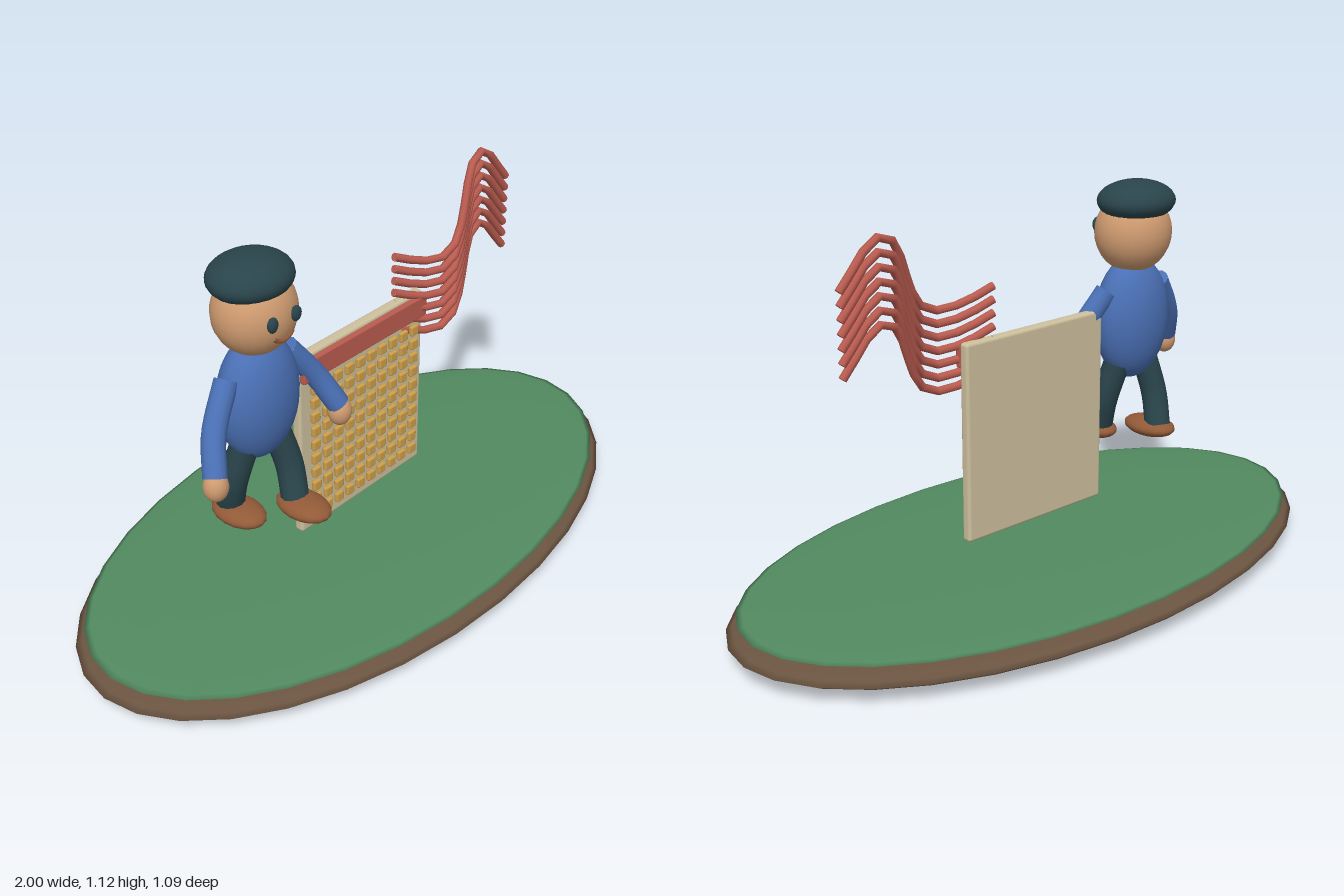
import * as THREE from 'three';
import { RoundedBoxGeometry } from 'three/addons/geometries/RoundedBoxGeometry.js';

const mat = (name, color) => new THREE.MeshStandardMaterial({ name, color });

export function createModel() {
  const group = new THREE.Group();
  const soil = mat('soil brown', 0x6b5441);
  const grass = mat('grass green', 0x528a60);
  const blue = mat('sweater blue', 0x4a70b5);
  const skin = mat('skin tan', 0xcf9b70);
  const dark = mat('dark teal', 0x29444b);
  const shoe = mat('shoe brown', 0x925a38);
  const cream = mat('board cream', 0xcdc09d);
  const gold = mat('bead gold', 0xcfa04a);
  const red = mat('ribbon red', 0xbb5c50);

  const add = (name, geometry, material, x = 0, y = 0, z = 0, parent = group) => {
    const m = new THREE.Mesh(geometry, material);
    m.name = name;
    m.position.set(x, y, z);
    parent.add(m);
    return m;
  };
  const ellipsoid = (name, material, [x, y, z], [rx, ry, rz], parent, seg = 24) =>
    add(name, new THREE.SphereGeometry(1, seg, 16).scale(rx, ry, rz), material, x, y, z, parent);

  // Tube through points, closed by a flat disc at both ends
  const tube = (name, material, points, r, steps, sides, parent) => {
    const curve = new THREE.CatmullRomCurve3(points.map(p => new THREE.Vector3(...p)));
    add(name, new THREE.TubeGeometry(curve, steps, r, sides), material, 0, 0, 0, parent);
    for (const t of [0, 1]) {
      const p = curve.getPointAt(t);
      const dir = curve.getTangentAt(t).multiplyScalar(t ? 1 : -1);
      const cap = add(name + 'End', new THREE.CircleGeometry(r, sides), material, p.x, p.y, p.z, parent);
      cap.quaternion.setFromUnitVectors(new THREE.Vector3(0, 0, 1), dir);
    }
  };

  // Oval island
  ellipsoid('soilBase', soil, [0, 0.058, 0], [1, 0.056, 0.545], group, 32);
  ellipsoid('grassTop', grass, [0, 0.105, 0], [0.97, 0.018, 0.523], group, 32);

  // Upright board with a red header and a grid of beads
  add('board', new RoundedBoxGeometry(0.52, 0.585, 0.032, 2, 0.01), cream, 0, 0.468, 0.001);
  add('headerStrip', new RoundedBoxGeometry(0.515, 0.066, 0.02, 1, 0.004), red, 0, 0.718, 0.026);
  const beads = new THREE.Group();
  beads.name = 'beads';
  group.add(beads);
  const beadShape = new RoundedBoxGeometry(0.031, 0.031, 0.015, 1, 0.005);
  for (let row = 0; row < 10; row++) {
    for (let col = 0; col < 10; col++) {
      add('bead', beadShape, gold, -0.21 + col * 0.0465, 0.236 + row * 0.0462, 0.029, beads);
    }
  }

  // Waving strands
  const wave = [
    [0.15, 0.903, 0], [0.22, 0.872, 0.02], [0.28, 0.856, 0.038], [0.33, 0.858, 0.047],
    [0.377, 0.888, 0.045], [0.436, 1.0, 0.027], [0.465, 1.06, 0.014], [0.51, 1.094, 0.003],
    [0.56, 1.088, -0.003], [0.61, 1.035, -0.004], [0.66, 0.975, 0],
  ];
  const strands = new THREE.Group();
  strands.name = 'strands';
  group.add(strands);
  for (let i = 0; i < 7; i++) {
    tube('strand', red, wave.map(([x, y, z]) => [x, y - i * 0.038, z]), 0.012, 12, 8, strands);
  }

  // Standing figure, built around its own centre line
  const figure = new THREE.Group();
  figure.name = 'figure';
  figure.position.x = -0.398;
  group.add(figure);
  ellipsoid('torso', blue, [0, 0.712, 0], [0.13, 0.188, 0.09], figure);
  ellipsoid('head', skin, [0, 0.97, 0], [0.119, 0.12, 0.11], figure);
  ellipsoid('cap', dark, [0, 1.065, -0.01], [0.122, 0.06, 0.109], figure);
  const smile = new THREE.TorusGeometry(0.042, 0.006, 8, 12, 1.9).rotateZ(-Math.PI / 2 - 0.95);
  add('smile', smile, shoe, 0, 0.96, 0.101, figure);

  for (const s of [-1, 1]) {
    const side = s > 0 ? 'left' : 'right';
    ellipsoid(side + 'Eye', dark, [s * 0.042, 0.981, 0.107], [0.017, 0.022, 0.011], figure, 12);
    tube(side + 'Arm', blue,
      [[s * 0.11, 0.808, 0], [s * 0.19, 0.695, 0.03], [s * 0.233, 0.6, 0.072]], 0.033, 10, 12, figure);
    ellipsoid(side + 'Hand', skin, [s * 0.235, 0.578, 0.076], [0.035, 0.043, 0.034], figure, 16);
    // The left foot strides forward, the right one back
    const stride = s > 0 ? 0.06 : -0.055;
    tube(side + 'Leg', dark,
      [[s * 0.058, 0.58, 0], [s * 0.079, 0.46, stride * 0.5], [s * 0.068, 0.365, stride]],
      0.04, 10, 12, figure);
    ellipsoid(side + 'Shoe', shoe, [s * 0.068, 0.355, stride + 0.032], [0.06, 0.03, 0.09], figure, 16);
  }
  return group;
}
